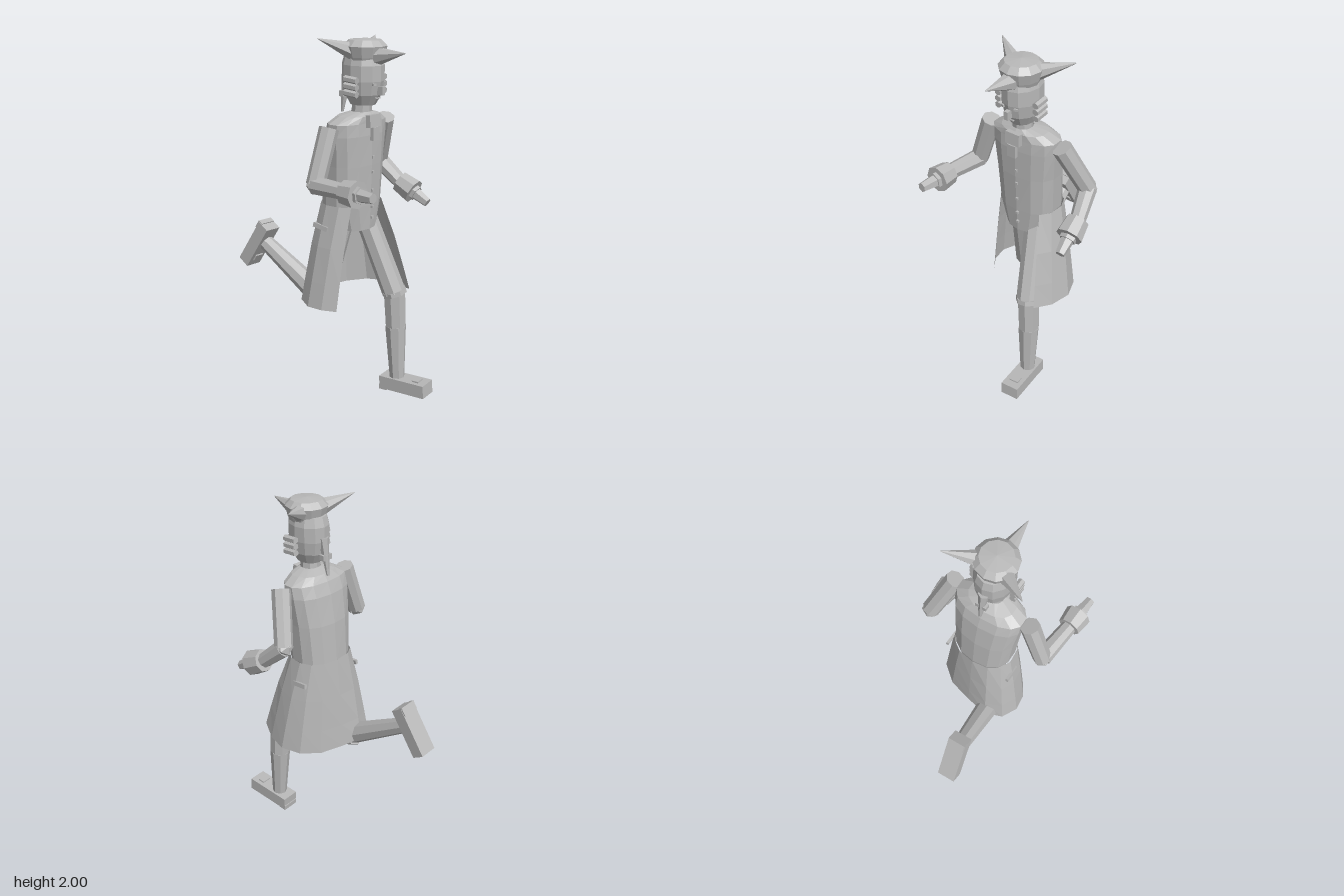
import * as THREE from 'three';

const grey = new THREE.MeshStandardMaterial({ color: 0xb8b8b8, flatShading: true, side: THREE.DoubleSide });
grey.name = 'plain grey';

const V = (p) => new THREE.Vector3(...p);
const UP = new THREE.Vector3(0, 1, 0);

export function createModel() {
  const model = new THREE.Group();
  model.name = 'runningFigure';

  const add = (name, geometry, parent = model) => {
    const mesh = new THREE.Mesh(geometry, grey);
    mesh.name = name;
    parent.add(mesh);
    return mesh;
  };

  // Tapered faceted limb between two points
  const limb = (name, from, to, r1, r2, sides = 8, parent = model) => {
    const a = V(from), b = V(to), d = b.clone().sub(a);
    const mesh = add(name, new THREE.CylinderGeometry(r2, r1, d.length(), sides), parent);
    mesh.position.copy(a).add(b).multiplyScalar(0.5);
    mesh.quaternion.setFromUnitVectors(UP, d.normalize());
    return mesh;
  };

  const box = (name, size, pos, rot = [0, 0, 0], parent = model) => {
    const mesh = add(name, new THREE.BoxGeometry(...size), parent);
    mesh.position.set(...pos);
    mesh.rotation.set(...rot);
    return mesh;
  };

  // Surface through rows of points, ordered from bottom to top
  const loft = (name, rows, closed) => {
    const n = rows[0].length, index = [];
    for (let i = 0; i < rows.length - 1; i++) {
      for (let j = 0; j < (closed ? n : n - 1); j++) {
        const a = i * n + j, b = i * n + (j + 1) % n;
        index.push(a, a + n, b, b, a + n, b + n);
      }
    }
    const g = new THREE.BufferGeometry();
    g.setAttribute('position', new THREE.Float32BufferAttribute(rows.flat(2), 3));
    g.setIndex(index);
    g.computeVertexNormals();
    return add(name, g);
  };

  // Point on a slightly squared oval; angle runs from +x toward +z
  const oval = (angle, y, hw, zFront, zBack) => {
    const soft = (v) => Math.sign(v) * Math.abs(v) ** 0.85;
    return [hw * soft(Math.cos(angle)), y,
      (zFront + zBack) / 2 + (zFront - zBack) / 2 * soft(Math.sin(angle))];
  };
  const ring = (...row) => Array.from({ length: 14 }, (_, i) => oval((i + 0.5) / 14 * Math.PI * 2, ...row));

  // Torso with sloping shoulders; the lowest rows are the waistcoat hem
  loft('torso', [
    ring(0.985, 0.01, 0.12, 0.1),
    ring(0.985, 0.125, 0.245, 0.0),
    ring(1.12, 0.168, 0.25, -0.02),
    ring(1.34, 0.18, 0.255, -0.003),
    ring(1.5, 0.195, 0.255, 0.025),
    ring(1.565, 0.195, 0.25, 0.05),
    ring(1.6, 0.13, 0.25, 0.075),
    ring(1.62, 0.055, 0.235, 0.13),
  ], true);

  // Coat skirt, open at the front and pushed forward by the leading leg
  const hem = [
    [0.2, 0.61, 0.375], [0.25, 0.585, 0.27], [0.275, 0.58, 0.15], [0.235, 0.575, 0.04],
    [0.14, 0.57, -0.035], [0, 0.57, -0.07], [-0.13, 0.57, -0.09], [-0.23, 0.565, -0.05],
    [-0.275, 0.56, 0.04], [-0.265, 0.56, 0.13], [-0.22, 0.555, 0.2],
  ];
  const waist = hem.map((_, i) => oval((47 - 274 * i / (hem.length - 1)) * Math.PI / 180, 1.125, 0.176, 0.254, -0.026));
  loft('coatSkirt', [1, 0.75, 0.4, 0].map((t) => hem.map((h, i) => h.map((v, k) =>
    waist[i][k] + (v - waist[i][k]) * (k === 1 ? t : t ** 0.85)))), false);

  // Pocket flaps and front buttons
  for (const s of [-1, 1]) box('pocketFlap', [0.015, 0.025, 0.1], [s * 0.198, 1.005, 0.07], [0.12, 0, s * 0.15]);
  for (const y of [1.05, 1.11, 1.2, 1.3, 1.38]) box('button', [0.014, 0.014, 0.012], [0.008, y, 0.255]);

  // Neck and cravat
  limb('neck', [0, 1.58, 0.18], [0, 1.69, 0.185], 0.055, 0.05, 8);
  box('cravatKnot', [0.085, 0.065, 0.04], [0, 1.575, 0.255], [-0.1, 0, 0]);
  box('cravatTail', [0.05, 0.07, 0.022], [0, 1.51, 0.273]);

  // Head
  const head = add('head', new THREE.LatheGeometry([
    [0.001, 1.645], [0.06, 1.655], [0.088, 1.71], [0.1, 1.78], [0.1, 1.86], [0.088, 1.91], [0.001, 1.92],
  ].map((p) => new THREE.Vector2(...p)), 12));
  head.scale.z = 1.18;
  head.position.set(0.005, 0, 0.185);
  box('nose', [0.024, 0.045, 0.035], [0.005, 1.735, 0.305]);
  box('mouth', [0.035, 0.006, 0.008], [0.005, 1.695, 0.283]);
  for (const s of [-1, 1]) {
    box('eye', [0.02, 0.012, 0.012], [0.005 + s * 0.04, 1.768, 0.292], [0, s * 0.3, 0]);
    // Stacked hair curls over the ears
    for (const y of [1.725, 1.76, 1.795]) {
      limb('sideCurl', [s * 0.115 + 0.005, y, 0.16], [s * 0.115 + 0.005, y - 0.006, 0.24], 0.018, 0.018, 6);
    }
  }
  limb('ponytail', [0, 1.8, 0.08], [0, 1.6, 0.048], 0.03, 0.008, 6);
  box('ponytailBow', [0.06, 0.03, 0.03], [0, 1.7, 0.065]);

  // Hat with three pointed corners
  const hat = add('hatCrown', new THREE.LatheGeometry([
    [0.09, 1.875], [0.1, 1.9], [0.115, 1.955], [0.085, 1.985], [0.001, 1.993],
  ].map((p) => new THREE.Vector2(...p)), 12));
  hat.position.set(0.008, 0, 0.195);
  limb('hatCorner', [0.005, 1.905, 0.27], [0, 1.932, 0.457], 0.05, 0.002, 7);
  limb('hatCorner', [0.06, 1.925, 0.175], [0.238, 1.985, 0.075], 0.05, 0.002, 7);
  limb('hatCorner', [-0.05, 1.925, 0.17], [-0.21, 1.995, 0.066], 0.05, 0.002, 7);

  // Arms: shoulder, elbow, cuff start, cuff end, fingertip
  const arms = {
    leftArm: [[0.225, 1.555, 0.165], [0.315, 1.285, 0.055], [0.345, 1.17, 0.185], [0.354, 1.125, 0.275], [0.363, 1.075, 0.365]],
    rightArm: [[-0.225, 1.555, 0.155], [-0.325, 1.275, 0.15], [-0.353, 1.285, 0.37], [-0.358, 1.287, 0.46], [-0.37, 1.29, 0.563]],
  };
  for (const [name, [shoulder, elbow, cuffA, cuffB, tip]] of Object.entries(arms)) {
    const arm = new THREE.Group();
    arm.name = name;
    model.add(arm);
    limb('upperArm', shoulder, elbow, 0.052, 0.05, 8, arm);
    add('elbow', new THREE.IcosahedronGeometry(0.05, 0), arm).position.set(...elbow);
    limb('forearm', elbow, cuffA, 0.05, 0.042, 8, arm);
    limb('cuff', cuffA, cuffB, 0.062, 0.072, 8, arm);
    limb('wrist', cuffB, V(cuffB).lerp(V(tip), 0.2).toArray(), 0.045, 0.045, 6, arm);
    limb('hand', cuffB, tip, 0.038, 0.026, 6, arm);
  }

  // Leading left leg
  limb('leftThigh', [0.065, 1.03, 0.16], [0.125, 0.6, 0.325], 0.062, 0.066);
  limb('leftKneeBand', [0.126, 0.615, 0.322], [0.13, 0.59, 0.328], 0.071, 0.071);
  limb('leftCalf', [0.128, 0.61, 0.325], [0.134, 0.4, 0.335], 0.064, 0.06);
  limb('leftShin', [0.134, 0.4, 0.335], [0.135, 0.08, 0.353], 0.06, 0.043);

  // Trailing right leg, bent back at the knee
  limb('rightThigh', [-0.07, 1.03, 0.12], [-0.122, 0.56, 0.0], 0.058, 0.07);
  add('rightKnee', new THREE.IcosahedronGeometry(0.068, 1)).position.set(-0.122, 0.568, -0.01);
  limb('rightKneeBand', [-0.124, 0.567, -0.015], [-0.125, 0.583, -0.04], 0.071, 0.071);
  limb('rightShin', [-0.124, 0.57, -0.01], [-0.155, 0.8, -0.4], 0.066, 0.045);

  // Shoes, built toe toward +z
  const shoe = (name, pos, rot) => {
    const g = new THREE.Group();
    g.name = name;
    model.add(g);
    box('shoeBody', [0.105, 0.075, 0.29], [0, 0, 0], [0, 0, 0], g);
    box('heel', [0.1, 0.03, 0.05], [0, -0.03, -0.125], [0, 0, 0], g);
    box('buckle', [0.055, 0.015, 0.04], [0, 0.038, 0.08], [0, 0, 0], g);
    g.position.set(...pos);
    g.rotation.set(...rot, 'YXZ');
  };
  shoe('leftShoe', [0.141, 0.053, 0.41], [-0.07, 0.09, 0]);
  shoe('rightShoe', [-0.163, 0.79, -0.452], [1.02, 3.19, 0]);

  // The trailing shoe's toe points down and back, sole facing away from the shin
  const trailing = model.getObjectByName('rightShoe');
  const toe = V([-0.02, -0.247, -0.155]).normalize();
  const top = V([0, -0.53, 0.85]).addScaledVector(toe, 0).normalize();
  const side = top.clone().cross(toe).normalize();
  trailing.quaternion.setFromRotationMatrix(
    new THREE.Matrix4().makeBasis(side, toe.clone().cross(side), toe));

  return model;
}
